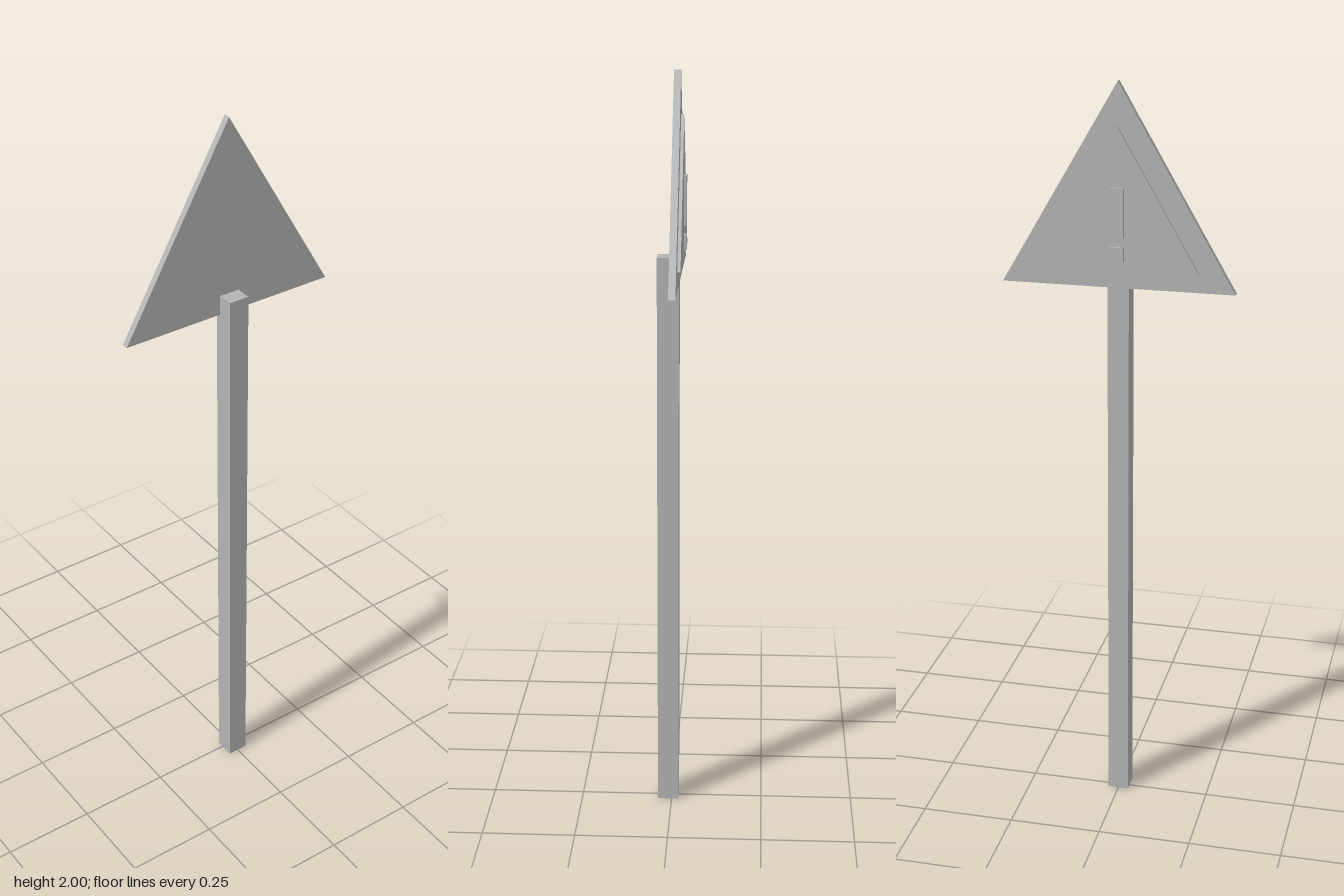
import * as THREE from 'three';

export function createModel() {
  const model = new THREE.Group();
  model.name = 'warningSign';
  const grey = new THREE.MeshStandardMaterial({ color: 0xb4b4b4 });
  grey.name = 'plain grey';

  function add(name, geometry) {
    const mesh = new THREE.Mesh(geometry, grey);
    mesh.name = name;
    model.add(mesh);
  }

  // Box given by its limits on each axis
  function box(name, x0, x1, y0, y1, z0, z1) {
    const g = new THREE.BoxGeometry(x1 - x0, y1 - y0, z1 - z0);
    g.translate((x0 + x1) / 2, (y0 + y1) / 2, (z0 + z1) / 2);
    add(name, g);
  }

  // Upright triangular plate, extruded towards -x from xBack
  function triangle(name, halfBase, bottom, top, xBack, depth) {
    const shape = new THREE.Shape([
      new THREE.Vector2(-halfBase, bottom),
      new THREE.Vector2(halfBase, bottom),
      new THREE.Vector2(0, top),
    ]);
    const g = new THREE.ExtrudeGeometry(shape, { depth, bevelEnabled: false });
    g.rotateY(-Math.PI / 2);
    g.translate(xBack, 0, 0);
    add(name, g);
  }

  // Square post behind the sign
  box('post', -0.019, 0.038, 0, 1.53, -0.028, 0.028);

  // Sign plate with a smaller raised panel on its -x face
  triangle('signPlate', 0.304, 1.477, 2, -0.005, 0.018);
  triangle('raisedPanel', 0.209, 1.528, 1.89, -0.022, 0.009);

  // Exclamation mark: bar and dot
  box('markBar', -0.038, -0.03, 1.61, 1.738, -0.0175, 0.0175);
  box('markDot', -0.038, -0.03, 1.548, 1.586, -0.0175, 0.0175);

  return model;
}
